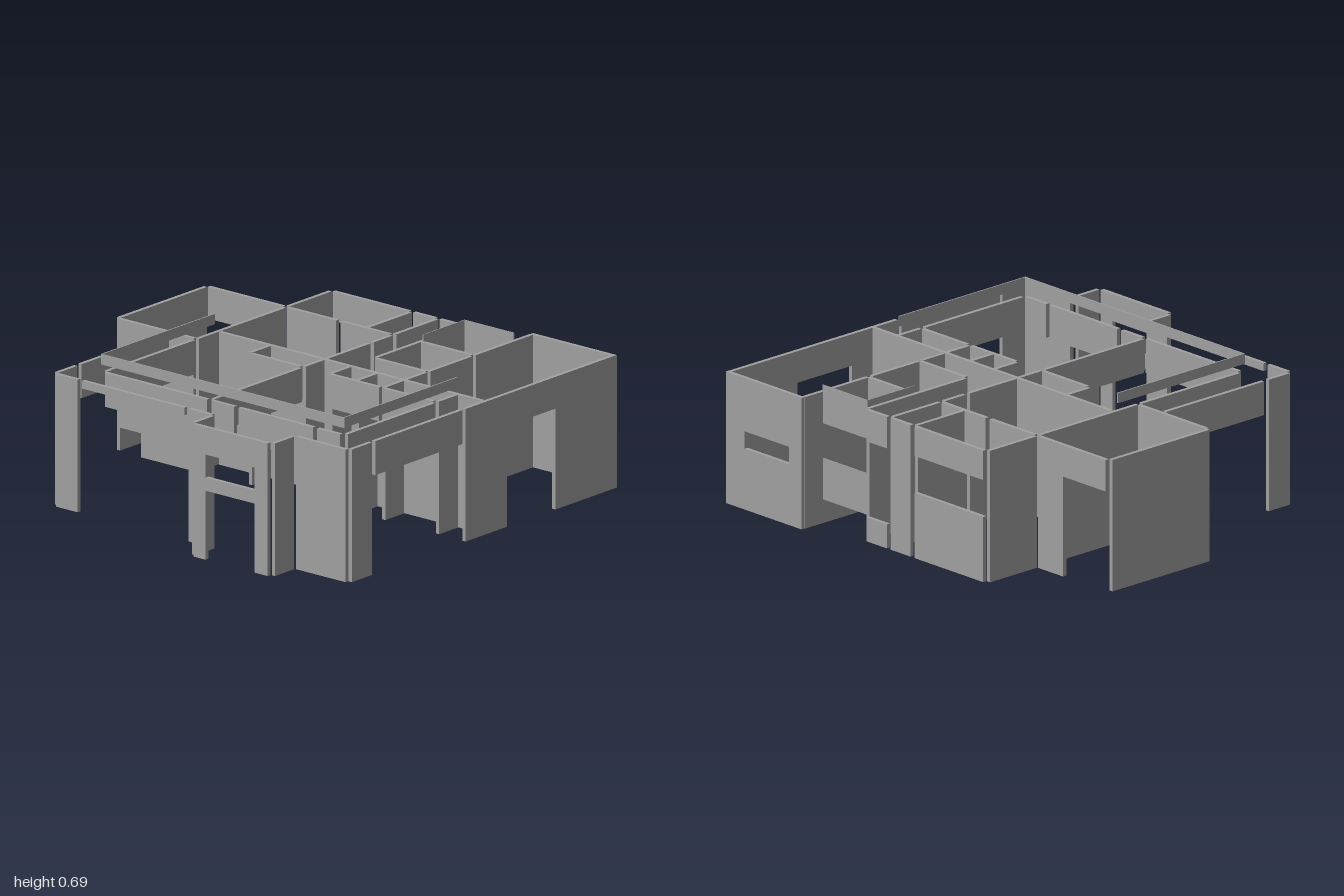
import * as THREE from 'three';

const H = 0.605;      // wall height
const T = 0.019;      // wall thickness
const FULL = [[0, H]];
const HEAD = [[0.45, H]];   // header over a wide opening

export function createModel() {
  const model = new THREE.Group();
  const wallGrey = new THREE.MeshStandardMaterial({ color: 0xa0a0a0 });
  wallGrey.name = 'wallGrey';

  // One slab: along x at fixed z, or along z at fixed x
  function slab(name, axis, at, u0, u1, y0, y1, t = T) {
    const len = u1 - u0, mid = (u0 + u1) / 2;
    const geo = axis === 'x' ? new THREE.BoxGeometry(len, y1 - y0, t)
      : new THREE.BoxGeometry(t, y1 - y0, len);
    const mesh = new THREE.Mesh(geo, wallGrey);
    mesh.position.set(axis === 'x' ? mid : at, (y0 + y1) / 2, axis === 'x' ? at : mid);
    mesh.name = name;
    model.add(mesh);
  }

  // Wall of vertical bands, optionally with an opening {from, to, solid bands left there}
  function wall(name, axis, at, u0, u1, bands = FULL, opening = null) {
    const spans = opening
      ? [[u0, opening.from, bands], [opening.from, opening.to, opening.solid], [opening.to, u1, bands]]
      : [[u0, u1, bands]];
    for (const [a, b, list] of spans) {
      if (b - a < 0.001) continue;
      for (const [y0, y1] of list) slab(name, axis, at, a, b, y0, y1);
    }
  }

  // Back right room
  wall('backRightWall', 'x', -0.965, 0.52, 1.0, FULL,
    { from: 0.6, to: 0.88, solid: [[0, 0.28], [0.36, H]] });
  wall('rightWall', 'z', 0.99, -0.955, 0.035, FULL,
    { from: -0.565, to: -0.24, solid: [[0.46, H]] });
  wall('backRightInnerWall', 'z', 0.527, -0.955, -0.575);

  // Left room
  wall('leftRoomBackWall', 'x', -0.563, -0.98, -0.55, FULL,
    { from: -0.98, to: -0.71, solid: [[0.46, H]] });
  wall('leftRoomSideWall', 'z', -0.99, -0.55, 0.03);
  wall('leftRoomFrontWall', 'x', 0.035, -0.98, -0.55, FULL,
    { from: -0.98, to: -0.85, solid: [[0.11, 0.295], [0.36, H]] });
  wall('leftRoomInnerWall', 'z', -0.538, -0.55, 0.03);

  // Back rooms
  wall('backLeftSideWall', 'z', -0.538, -0.855, -0.575);
  wall('backWindowWall', 'x', -0.866, -0.525, -0.09, [[0, 0.3], [0.47, H]]);
  wall('backMiddleWall', 'x', -0.866, -0.065, 0.06);
  wall('backPassageWall', 'x', -0.866, 0.085, 0.215, [[0, 0.11], [0.46, H]]);
  wall('closetPartition', 'z', -0.08, -0.855, -0.575);
  wall('backPartition', 'z', 0.072, -0.855, -0.575);
  wall('bedroomWall', 'x', -0.563, -0.525, -0.245);
  wall('bedroomDoorHeader', 'x', -0.563, -0.22, 0.06, HEAD);
  wall('hallDoorHeader', 'z', 0.072, -0.55, -0.425, HEAD);
  wall('hallWall', 'z', 0.072, -0.4, -0.12);
  wall('bathSideWall', 'z', 0.225, -0.855, -0.275);
  wall('bathBackWall', 'x', -0.57, 0.235, 0.52);
  wall('bathRightWall', 'z', 0.527, -0.55, -0.27);
  wall('bathFrontWall', 'x', -0.262, 0.235, 0.52);
  wall('corridorDoorHeader', 'z', 0.527, -0.25, -0.12, HEAD);

  // Long middle wall with the closet row in front of it
  wall('middleWall', 'x', -0.107, -0.525, 0.98);
  for (const x of [-0.235, 0.072, 0.225, 0.375, 0.527, 0.835]) wall('closetDivider', 'z', x, -0.095, 0.03);
  for (const [a, b] of [[-0.22, 0.06], [0.235, 0.515], [0.54, 0.82]])
    wall('closetHeader', 'x', 0.037, a, b, HEAD);

  // Open front rooms: headers across the openings
  for (const x of [-0.69, -0.538, 0.072, 0.835, 0.99])
    wall('sideHeader', 'z', x, 0.055, 0.638, HEAD);
  for (const [a, b] of [[-0.525, 0.06], [0.085, 0.215], [0.24, 0.665], [0.69, 0.82]])
    wall('frontRoomHeader', 'x', 0.655, a, b, HEAD);

  // Porch posts, beam and bay
  wall('leftPorchSide', 'z', -0.688, 0.668, 0.795);
  wall('leftPorchPost', 'x', 0.807, -0.675, -0.55);
  wall('porchBeam', 'x', 0.807, -0.525, 0.06, [[0.57, H]]);
  wall('middlePorchPost', 'x', 0.807, 0.085, 0.215);
  wall('bayLeftSide', 'z', 0.225, 0.82, 0.945);
  wall('bayFront', 'x', 0.957, 0.24, 0.665, FULL,
    { from: 0.31, to: 0.59, solid: [[0.315, 0.375], [0.48, H]] });
  wall('bayRightSide', 'z', 0.68, 0.82, 0.945);
  wall('rightPorchWall', 'x', 0.803, 0.695, 0.98);
  wall('rightPorchSide', 'z', 0.99, 0.66, 0.795);

  // Thin raised trim around the front rooms
  slab('raisedFrontTrim', 'x', 0.665, -0.545, 0.845, 0.64, 0.687, 0.006);
  for (const x of [-0.543, 0.843]) slab('raisedSideTrim', 'z', x, -0.09, 0.665, 0.64, 0.687, 0.006);

  // Thin screen around the back recess
  for (const [y0, y1] of [[0.11, 0.3], [0.46, 0.637]])
    slab('recessScreen', 'x', -0.848, 0.235, 0.52, y0, y1, 0.004);
  slab('recessSideScreen', 'z', 0.237, -0.848, -0.57, 0.11, 0.637, 0.004);

  return model;
}
